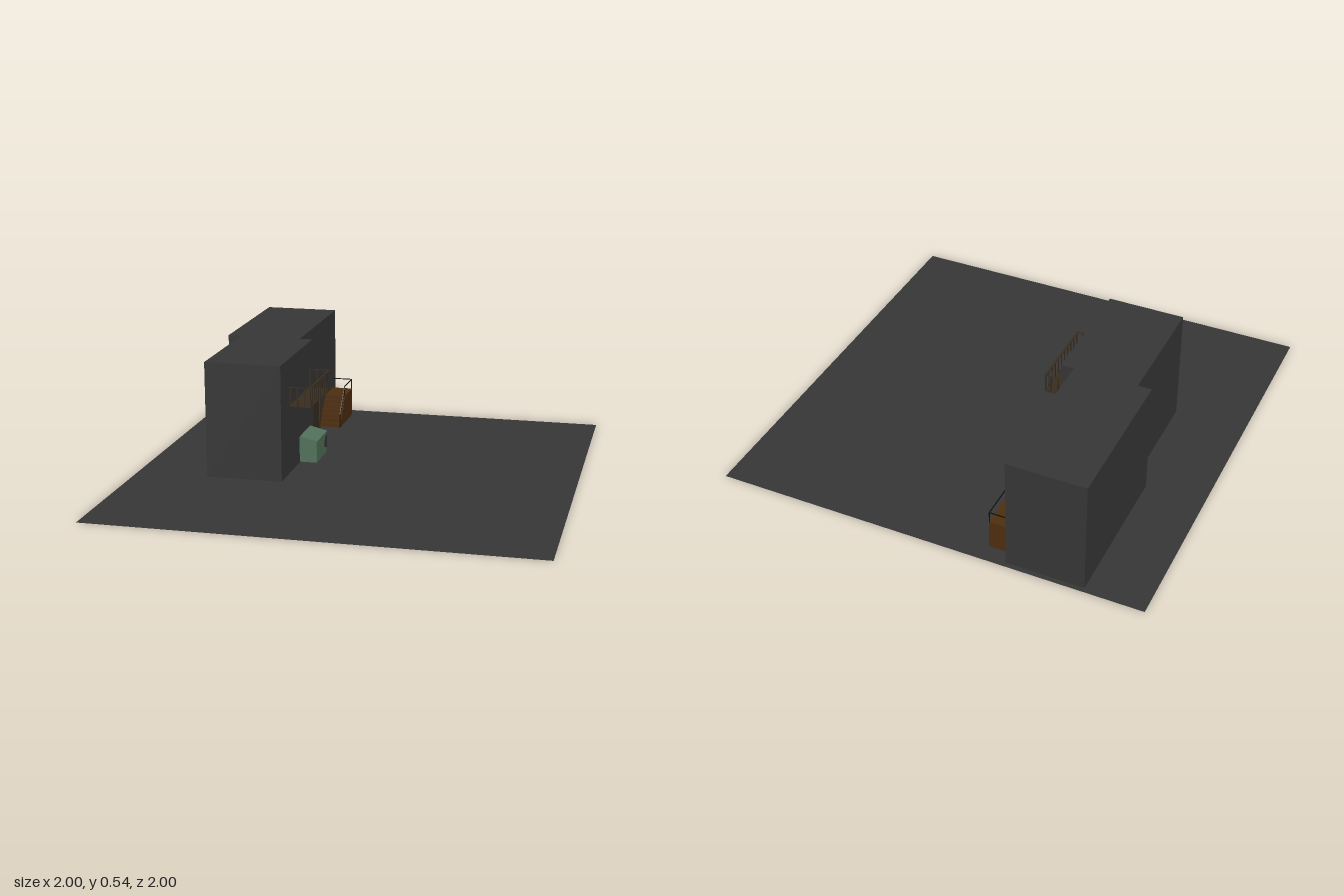
import * as THREE from 'three';

const mat = (name, color, side = THREE.FrontSide) => {
  const m = new THREE.MeshStandardMaterial({ color, side });
  m.name = name;
  return m;
};

export function createModel() {
  const concrete = mat('concrete', 0x363636, THREE.DoubleSide);
  const wood = mat('wood', 0x4d2d0e);
  const darkWood = mat('darkWood', 0x372c1e, THREE.DoubleSide);
  const green = mat('greenMetal', 0x50705a);
  const black = mat('blackMetal', 0x101010);

  const root = new THREE.Group();
  const group = (name) => {
    const g = new THREE.Group();
    g.name = name;
    root.add(g);
    return g;
  };
  // Box given by its lower and upper bounds
  const box = (parent, name, m, x0, x1, y0, y1, z0, z1) => {
    const mesh = new THREE.Mesh(new THREE.BoxGeometry(x1 - x0, y1 - y0, z1 - z0), m);
    mesh.position.set((x0 + x1) / 2, (y0 + y1) / 2, (z0 + z1) / 2);
    mesh.name = name;
    parent.add(mesh);
    return mesh;
  };
  // Thin square bar between two points
  const bar = (parent, name, m, a, b, w) => {
    const p = new THREE.Vector3(...a), q = new THREE.Vector3(...b);
    const mesh = new THREE.Mesh(new THREE.BoxGeometry(w, w, p.distanceTo(q)), m);
    mesh.position.copy(p).add(q).multiplyScalar(0.5);
    mesh.lookAt(q);
    mesh.name = name;
    parent.add(mesh);
  };

  // Ground sheet
  const ground = new THREE.Mesh(new THREE.PlaneGeometry(2, 2).rotateX(-Math.PI / 2), concrete);
  ground.name = 'ground';
  root.add(ground);

  // Two offset blocks
  const building = group('building');
  box(building, 'rearBlock', concrete, -0.727, -0.37, 0.001, 0.54, -0.978, -0.28);
  box(building, 'frontBlock', concrete, -0.664, -0.309, 0.001, 0.54, -0.28, 0.277);

  // Balcony: floor sheet with flat rails and posts on three sides
  const balcony = group('balcony');
  const bx0 = -0.309, bx1 = -0.205, bz0 = -0.215, bz1 = 0.143, low = 0.318, high = 0.411;
  box(balcony, 'balconyFloor', darkWood, bx0, bx1, low, low + 0.003, bz0, bz1);
  box(balcony, 'outerTopRail', darkWood, bx1 - 0.01, bx1, high - 0.003, high, bz0, bz1);
  for (const z of [bz0, bz1]) {
    box(balcony, 'endTopRail', darkWood, bx0, bx1, high - 0.003, high, z - 0.003, z + 0.003);
    for (let i = 0; i < 3; i++) {
      const x = bx0 + 0.003 + i * 0.034;
      box(balcony, 'endPost', darkWood, x, x + 0.007, low, high, z - 0.001, z + 0.001);
    }
  }
  for (let i = 0; i < 11; i++) {
    const z = bz0 + i * (bz1 - bz0 - 0.009) / 10;
    box(balcony, 'outerPost', darkWood, bx1 - 0.003, bx1 - 0.001, low, high, z, z + 0.009);
  }

  // Window: pane, surround and middle bar
  const win = group('window');
  box(win, 'windowPane', darkWood, -0.37, -0.367, 0.15, 0.265, -0.455, -0.35);
  for (const y of [0.148, 0.203, 0.257])
    box(win, 'windowBar', wood, -0.37, -0.362, y, y + 0.01, -0.456, -0.349);
  for (const z of [-0.456, -0.359])
    box(win, 'windowJamb', wood, -0.37, -0.362, 0.148, 0.267, z, z + 0.01);

  // Door
  const door = group('door');
  box(door, 'doorPanel', darkWood, -0.37, -0.366, 0.001, 0.18, -0.62, -0.49);
  for (const z of [-0.632, -0.493])
    box(door, 'doorJamb', wood, -0.37, -0.362, 0.001, 0.19, z, z + 0.013);
  box(door, 'doorLintel', wood, -0.37, -0.362, 0.177, 0.19, -0.632, -0.48);

  // Stairs: stepped side profile extruded across the width
  const stairs = group('stairs');
  const profile = new THREE.Shape();
  const zFoot = 0.655, steps = 6, tread = 0.1 / steps, rise = 0.14 / (steps + 1);
  profile.moveTo(0.917, 0.001);
  profile.lineTo(zFoot, 0.001);
  for (let i = 0; i <= steps; i++) {
    profile.lineTo(zFoot + i * tread, (i + 1) * rise);
    if (i < steps) profile.lineTo(zFoot + (i + 1) * tread, (i + 1) * rise);
  }
  profile.lineTo(0.917, 0.14);
  const flight = new THREE.Mesh(
    new THREE.ExtrudeGeometry(profile, { depth: 0.105, bevelEnabled: false }), wood);
  flight.rotation.y = Math.PI / 2;
  flight.position.x = -0.37;
  flight.name = 'stairFlight';
  stairs.add(flight);

  // Handrail
  const rx = -0.267, rw = 0.004;
  const rail = (a, b) => bar(stairs, 'handrail', black, a, b, rw);
  rail([rx, 0.001, -0.655], [rx, 0.068, -0.655]);
  rail([rx, 0.068, -0.655], [rx, 0.19, -0.757]);
  rail([rx, 0.14, -0.757], [rx, 0.19, -0.757]);
  rail([rx, 0.19, -0.757], [rx, 0.19, -0.915]);
  rail([rx, 0.14, -0.915], [rx, 0.19, -0.915]);
  rail([rx, 0.19, -0.915], [-0.37, 0.19, -0.915]);

  // Waste bin with a sloping lid
  const bin = group('wasteBin');
  const side = new THREE.Shape([[-0.309, 0.004], [-0.226, 0.004], [-0.226, 0.102], [-0.309, 0.122]]
    .map((p) => new THREE.Vector2(...p)));
  const body = new THREE.Mesh(
    new THREE.ExtrudeGeometry(side, { depth: 0.187, bevelEnabled: false }), green);
  body.position.z = -0.22;
  body.name = 'binBody';
  bin.add(body);
  const lid = box(bin, 'binLid', green, -0.309, -0.222, 0.112, 0.119, -0.222, -0.031);
  lid.rotation.z = -Math.atan2(0.02, 0.083);

  // Dark patch on the bin's outer face
  const patch = new THREE.Shape([[0.17, 0.04], [0.17, 0.06], [0.187, 0.088], [0.22, 0.092], [0.22, 0.028]]
    .map((p) => new THREE.Vector2(...p)));
  const stain = new THREE.Mesh(new THREE.ShapeGeometry(patch), concrete);
  stain.rotation.y = Math.PI / 2;
  stain.position.x = -0.2245;
  stain.name = 'binPatch';
  bin.add(stain);

  return root;
}
